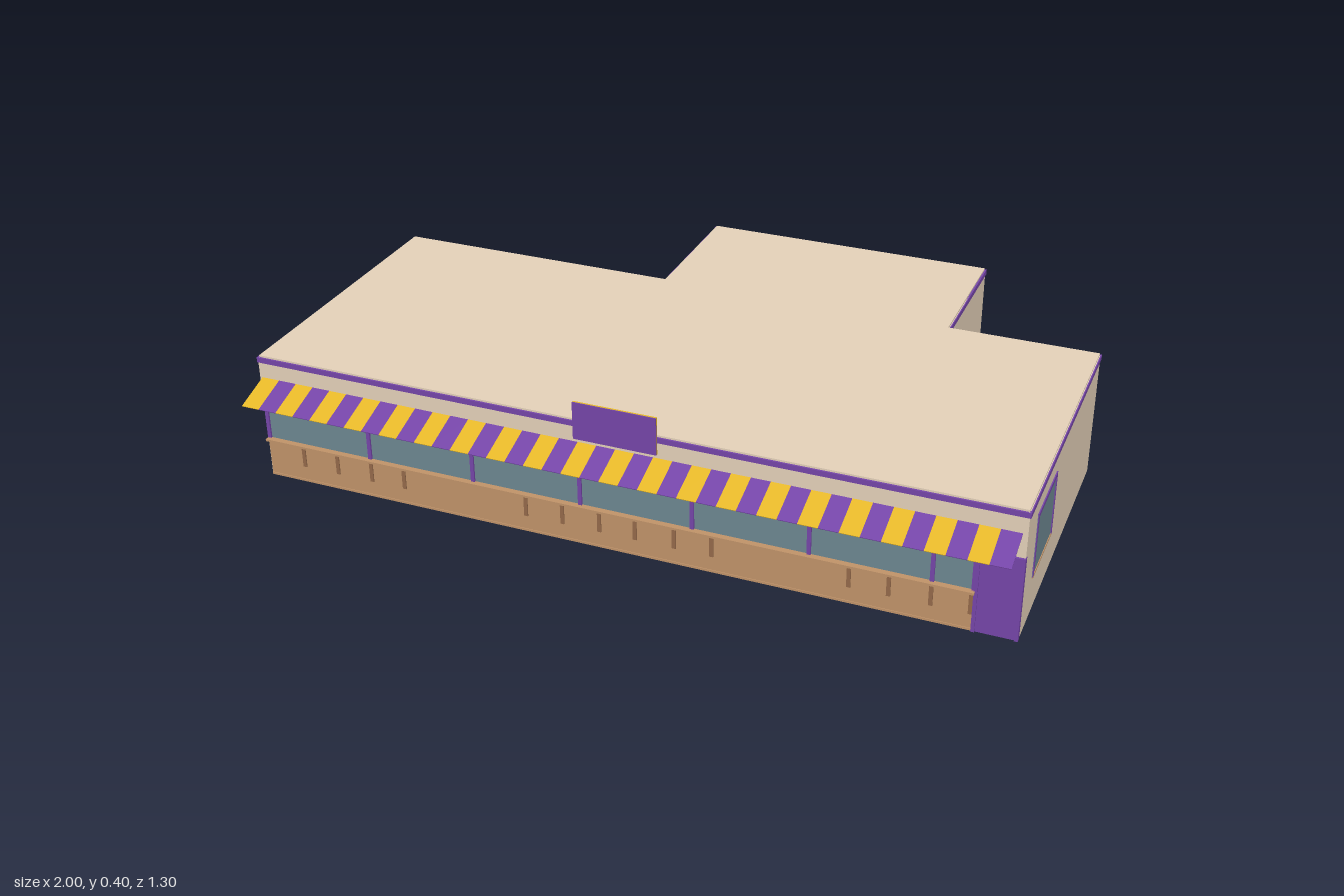
import * as THREE from 'three';

export function createModel() {
  const model = new THREE.Group();
  model.name = 'diner';

  const mat = (name, color) => {
    const m = new THREE.MeshStandardMaterial({ color });
    m.name = name;
    return m;
  };
  const plaster = mat('beige plaster', 0xe4d1b9);
  const purple = mat('purple paint', 0x7545a8);
  const yellow = mat('yellow cloth', 0xe6b828);
  const glass = mat('slate glass', 0x6d8791);
  const timber = mat('brown timber', 0xc09369);
  const darkWood = mat('dark wood', 0x94694a);

  const add = (name, geometry, material, parent = model) => {
    const mesh = new THREE.Mesh(geometry, material);
    mesh.name = name;
    parent.add(mesh);
    return mesh;
  };
  // box given by its two opposite corners
  const box = (name, material, x0, x1, y0, y1, z0, z1, parent) => {
    const mesh = add(name, new THREE.BoxGeometry(x1 - x0, y1 - y0, z1 - z0), material, parent);
    mesh.position.set((x0 + x1) / 2, (y0 + y1) / 2, (z0 + z1) / 2);
    return mesh;
  };

  // T-shaped footprint, starting along the front edge (x, z)
  const plan = [
    [-0.995, 0.55], [0.995, 0.55], [0.995, -0.25], [0.597, -0.25],
    [0.597, -0.645], [-0.207, -0.645], [-0.207, -0.25], [-0.995, -0.25],
  ];
  // strip of boxes along one edge of the footprint
  const edgeBox = (name, material, i, y0, y1, half, parent) => {
    const [ax, az] = plan[i];
    const [bx, bz] = plan[(i + 1) % plan.length];
    return box(name, material, Math.min(ax, bx) - half, Math.max(ax, bx) + half, y0, y1,
      Math.min(az, bz) - half, Math.max(az, bz) + half, parent);
  };
  // slab over the footprint
  const slab = (name, material, y, height) => {
    const shape = new THREE.Shape(plan.map(([x, z]) => new THREE.Vector2(x, -z)));
    const mesh = add(name, new THREE.ExtrudeGeometry(shape, { depth: height, bevelEnabled: false }), material);
    mesh.rotation.x = -Math.PI / 2;
    mesh.position.y = y;
  };

  // walls (front edge is built separately) and the purple cornice
  const walls = new THREE.Group();
  walls.name = 'walls';
  const cornice = new THREE.Group();
  cornice.name = 'cornice';
  model.add(walls, cornice);
  plan.forEach((_, i) => {
    if (i > 0) edgeBox('wall', plaster, i, 0, 0.345, 0.002, walls);
    edgeBox('corniceStrip', purple, i, 0.331, 0.345, 0.005, cornice);
  });

  // roof, ceiling and ceiling beams
  slab('roof', plaster, 0.335, 0.015);
  slab('ceiling', timber, 0.328, 0.006);
  for (const z of [0.45, 0.28, 0.11, -0.06, -0.22]) {
    box('ceilingBeam', timber, -0.99, 0.99, 0.314, 0.328, z - 0.008, z + 0.008);
  }
  for (const z of [-0.38, -0.52]) {
    box('ceilingBeam', timber, -0.2, 0.59, 0.314, 0.328, z - 0.008, z + 0.008);
  }

  // front wall: timber base, glazing, fascia
  box('frontBase', timber, -0.995, 0.89, 0, 0.11, 0.546, 0.554);
  box('frontGlazing', glass, -0.995, 0.89, 0.11, 0.262, 0.547, 0.552);
  box('frontFascia', plaster, -0.997, 0.997, 0.262, 0.345, 0.546, 0.554);
  box('doorLintel', plaster, 0.89, 0.997, 0.225, 0.262, 0.546, 0.554);
  box('windowSill', timber, -0.995, 0.89, 0.106, 0.112, 0.535, 0.568);
  box('baseRail', timber, -0.995, 0.89, 0, 0.006, 0.538, 0.556);
  box('windowHead', purple, -0.995, 0.89, 0.255, 0.264, 0.536, 0.556);
  for (const x of [-0.99, -0.69, -0.395, -0.1, 0.195, 0.49, 0.788, 0.886]) {
    box('mullion', purple, x - 0.005, x + 0.005, 0.112, 0.26, 0.54, 0.557);
  }
  // short battens through the timber base
  for (const x of [-0.89, -0.79, -0.69, -0.595, -0.25, -0.15, -0.05, 0.045, 0.148, 0.245, 0.59, 0.687, 0.788, 0.882]) {
    box('batten', darkWood, x - 0.005, x + 0.005, 0.045, 0.108, 0.544, 0.557);
  }

  // door with a raised frame
  const door = new THREE.Group();
  door.name = 'door';
  model.add(door);
  box('doorLeaf', purple, 0.89, 0.995, 0, 0.222, 0.546, 0.556, door);
  box('doorPost', purple, 0.887, 0.896, 0, 0.225, 0.545, 0.56, door);
  box('doorPost', purple, 0.989, 0.998, 0, 0.225, 0.545, 0.56, door);
  box('doorHead', purple, 0.887, 0.998, 0.215, 0.225, 0.545, 0.56, door);

  // side windows: pane through the wall with a frame around it
  const sideWindow = (side, z0, z1) => {
    const group = new THREE.Group();
    group.name = side > 0 ? 'leftWindow' : 'rightWindow';
    model.add(group);
    const part = (name, material, y0, y1, a, b, half) =>
      box(name, material, side * 0.995 - half, side * 0.995 + half, y0, y1, a, b, group);
    part('pane', glass, 0.11, 0.28, z0, z1, 0.003);
    part('frameTop', purple, 0.271, 0.282, z0, z1, 0.005);
    part('frameSide', purple, 0.11, 0.28, z0, z0 + 0.009, 0.005);
    part('frameSide', purple, 0.11, 0.28, z1 - 0.009, z1, 0.005);
    part('sill', timber, 0.107, 0.113, z0, z1, 0.005);
  };
  sideWindow(1, 0.25, 0.453);
  sideWindow(-1, -0.15, 0.055);

  // striped awning
  const awning = new THREE.Group();
  awning.name = 'awning';
  model.add(awning);
  const stripes = 40, x0 = -0.99, width = 1.975 / stripes;
  const drop = 0.033, reach = 0.1;
  for (let i = 0; i < stripes; i++) {
    const stripe = add('awningStripe', new THREE.BoxGeometry(width, 0.002, Math.hypot(drop, reach)),
      i % 2 ? purple : yellow, awning);
    stripe.position.set(x0 + (i + 0.5) * width, 0.272, 0.603);
    stripe.rotation.x = Math.atan2(drop, reach);
  }

  // blank sign board: purple face on a yellow backing
  box('signBacking', yellow, -0.11, 0.107, 0.3, 0.4, 0.553, 0.558);
  box('signFace', purple, -0.11, 0.107, 0.3, 0.4, 0.558, 0.561);

  return model;
}
